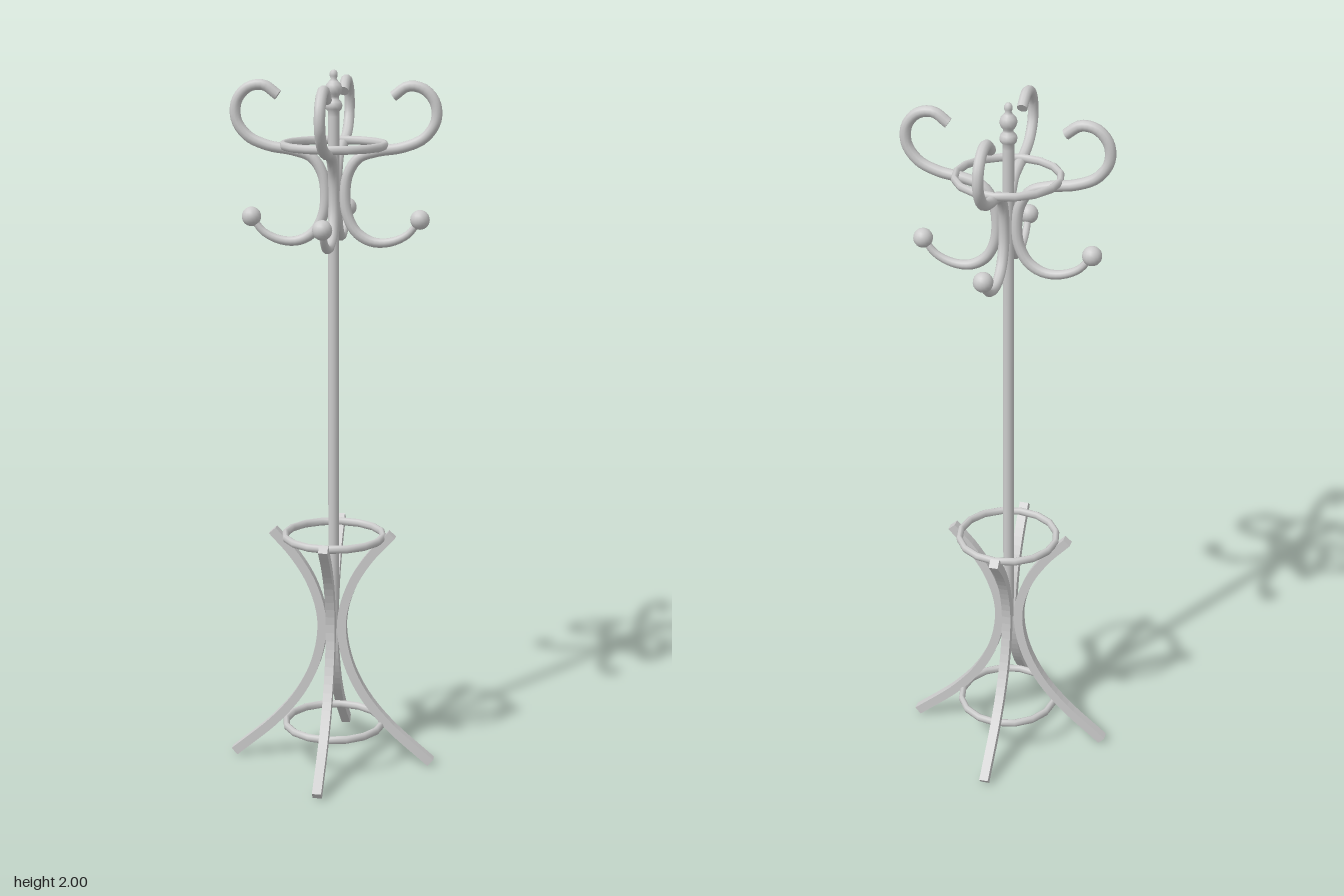
import * as THREE from 'three';

const material = new THREE.MeshStandardMaterial({ color: 0xcccccc });

function addMesh(parent, name, geometry, x = 0, y = 0, z = 0) {
  const mesh = new THREE.Mesh(geometry, material);
  mesh.name = name;
  mesh.position.set(x, y, z);
  parent.add(mesh);
  return mesh;
}

const curveThrough = (points) =>
  new THREE.CatmullRomCurve3(points.map(([x, y]) => new THREE.Vector3(x, y, 0)), false, 'centripetal');

// Bent round rod; taper(t) scales its radius along the way
function addRoundRod(parent, name, points, radius, segments, taper) {
  const curve = curveThrough(points);
  const sides = 10;
  const geometry = new THREE.TubeGeometry(curve, segments, radius, sides, false);
  const pos = geometry.attributes.position;
  const v = new THREE.Vector3();
  for (let i = 0; i < pos.count; i++) {
    const t = Math.floor(i / (sides + 1)) / segments;
    const c = curve.getPointAt(t);
    v.fromBufferAttribute(pos, i).sub(c).multiplyScalar(taper(t)).add(c);
    pos.setXYZ(i, v.x, v.y, v.z);
  }
  addMesh(parent, name, geometry);
  // flat cap on the free end (the other end is inside the knob)
  const tip = curve.getPointAt(1);
  const cap = addMesh(parent, name + 'Tip', new THREE.CircleGeometry(radius * taper(1), sides), tip.x, tip.y, tip.z);
  cap.quaternion.setFromUnitVectors(new THREE.Vector3(0, 0, 1), curve.getTangentAt(1));
}

// Bent rod of square section
function addSquareRod(parent, name, points, width, steps) {
  const h = width / 2;
  const section = new THREE.Shape([[-h, -h], [h, -h], [h, h], [-h, h]].map(([x, y]) => new THREE.Vector2(x, y)));
  addMesh(parent, name, new THREE.ExtrudeGeometry(section, { steps, extrudePath: curveThrough(points), bevelEnabled: false }));
}

export function createModel() {
  const model = new THREE.Group();
  model.name = 'coatStand';

  // Central pole
  addMesh(model, 'pole', new THREE.CylinderGeometry(0.0155, 0.0155, 1.48, 16), 0.002, 1.15, 0);

  // Turned finial
  const finial = [
    [0.0155, 1.875], [0.016, 1.888], [0.022, 1.895], [0.024, 1.904], [0.021, 1.914], [0.014, 1.921],
    [0.014, 1.928], [0.020, 1.936], [0.024, 1.948], [0.021, 1.960], [0.013, 1.969], [0.008, 1.975],
    [0.011, 1.983], [0.011, 1.991], [0.007, 1.998], [0, 2.0],
  ].map(([r, y]) => new THREE.Vector2(r, y));
  addMesh(model, 'finial', new THREE.LatheGeometry(finial, 16), 0.002, 0, 0);

  // Hoops, taller than thick: bottom, umbrella guard and hat ring
  for (const [name, y] of [['bottomRing', 0.117], ['umbrellaRing', 0.687], ['hatRing', 1.797]]) {
    const hoop = new THREE.TorusGeometry(0.141, 0.0095, 8, 16).rotateX(Math.PI / 2).scale(1, 1.25, 1);
    addMesh(model, name, hoop, 0.003, y, -0.002);
  }

  const legPath = [
    [0.172, 0.697], [0.108, 0.625], [0.057, 0.54], [0.029, 0.435],
    [0.043, 0.32], [0.09, 0.215], [0.164, 0.122], [0.29, 0.011],
  ];
  // From the coat knob, under and up along the pole, then out to the hat hook
  const hookPath = [
    [0.234, 1.597], [0.2, 1.555], [0.15, 1.533], [0.1, 1.534], [0.058, 1.56], [0.034, 1.605], [0.027, 1.66],
    [0.036, 1.72], [0.065, 1.763], [0.115, 1.781], [0.185, 1.793], [0.242, 1.818], [0.274, 1.863],
    [0.272, 1.914], [0.241, 1.95], [0.198, 1.957], [0.158, 1.93],
  ];

  for (let i = 0; i < 4; i++) {
    const angle = (i * Math.PI) / 2;

    const leg = new THREE.Group();
    leg.name = 'leg' + (i + 1);
    leg.rotation.y = angle;
    leg.position.set(-0.002, 0, -0.001);
    addSquareRod(leg, 'legRod', legPath, 0.026, 32);
    model.add(leg);

    const hook = new THREE.Group();
    hook.name = 'hook' + (i + 1);
    hook.rotation.y = angle;
    hook.position.set(0.006, 0, -0.002);
    addRoundRod(hook, 'hookRod', hookPath, 0.015, 64, (t) => Math.min(1, 0.6 + t * 1.8));
    addMesh(hook, 'hookKnob', new THREE.SphereGeometry(0.027, 16, 12), 0.234, 1.597, 0);
    model.add(hook);
  }
  return model;
}
